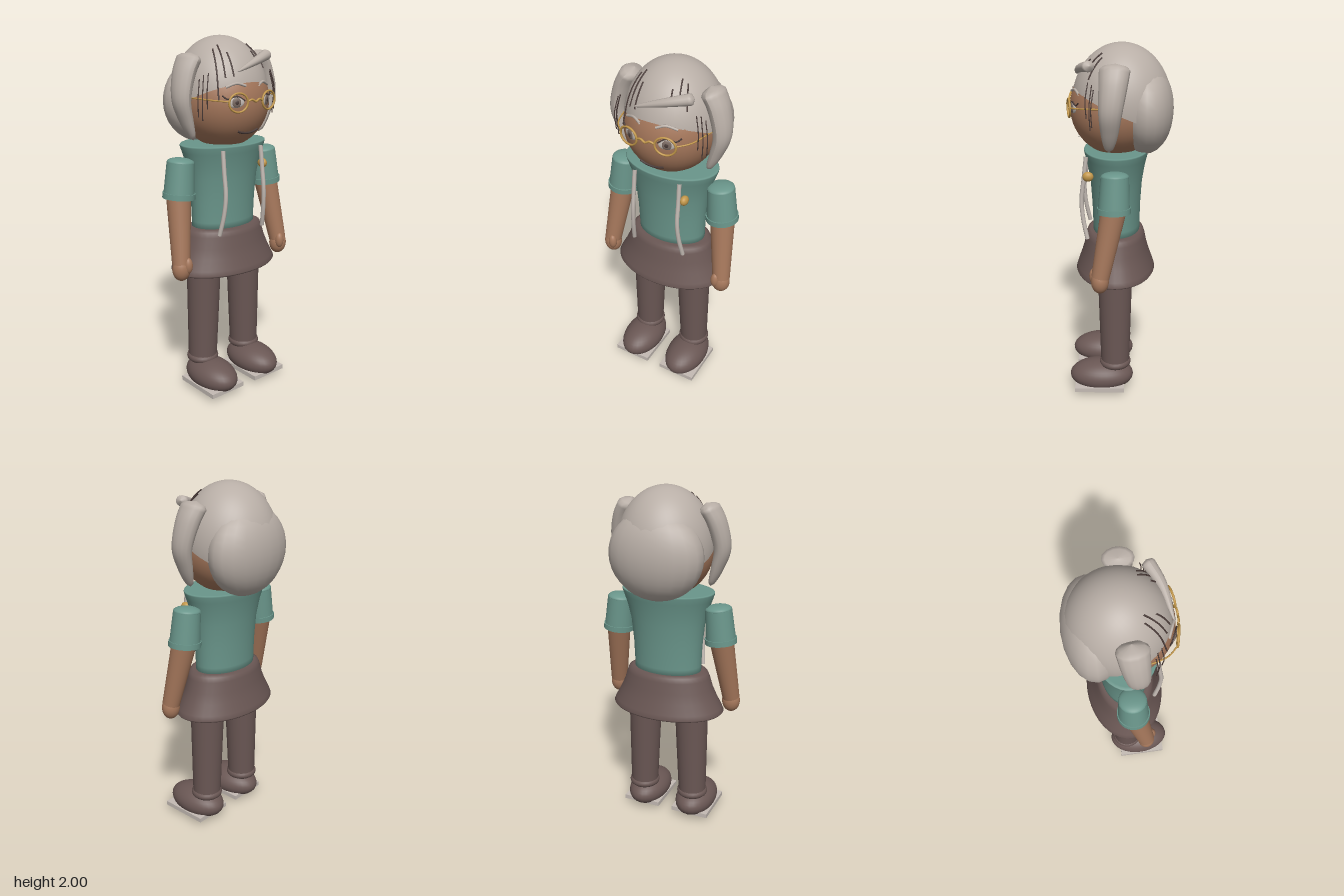
import * as THREE from 'three';

const mat = (name, color) => {
  const m = new THREE.MeshStandardMaterial({ color });
  m.name = name;
  return m;
};
const V = (x, y, z) => new THREE.Vector3(x, y, z);

export function createModel() {
  const model = new THREE.Group();
  const hair = mat('grey hair', 0xb8aea6);
  hair.side = THREE.DoubleSide;
  const skin = mat('skin', 0xa5775b);
  const teal = mat('teal cloth', 0x6a968b);
  const brown = mat('brown cloth', 0x6a5754);
  const pale = mat('pale trim', 0xc4bbb4);
  const gold = mat('gold', 0xc2974a);
  const dark = mat('dark line', 0x4a3b38);
  const iris = mat('iris', 0x7a6a62);

  const add = (name, geo, material, x = 0, y = 0, z = 0) => {
    const m = new THREE.Mesh(geo, material);
    m.name = name;
    m.position.set(x, y, z);
    model.add(m);
    return m;
  };
  const ball = (name, material, c, r, w = 32, h = 20) => {
    const m = add(name, new THREE.SphereGeometry(1, w, h), material, ...c);
    m.scale.set(...r);
    return m;
  };
  // Tapered cylinder from a (top) to b (bottom)
  const limb = (name, material, a, b, ra, rb) => {
    const d = a.clone().sub(b);
    const m = add(name, new THREE.CylinderGeometry(ra, rb, d.length(), 28), material);
    m.position.copy(a).add(b).multiplyScalar(0.5);
    m.quaternion.setFromUnitVectors(V(0, 1, 0), d.normalize());
    return m;
  };
  const cord = (name, material, pts, r, n = 20) =>
    add(name, new THREE.TubeGeometry(new THREE.CatmullRomCurve3(pts), n, r, 8), material);
  // Tube whose rings are scaled along the path, for locks of hair
  const lock = (name, pts, size, radius) => {
    const n = 28, sides = 14;
    const curve = new THREE.CatmullRomCurve3(pts);
    const geo = new THREE.TubeGeometry(curve, n, 1, sides);
    const p = geo.attributes.position, v = V(0, 0, 0);
    for (let i = 0; i <= n; i++) {
      const c = curve.getPointAt(i / n), r = radius(i / n);
      for (let j = 0; j <= sides; j++) {
        const k = i * (sides + 1) + j;
        v.fromBufferAttribute(p, k).sub(c).multiply(size).multiplyScalar(r).add(c);
        p.setXYZ(k, v.x, v.y, v.z);
      }
    }
    geo.computeVertexNormals();
    return add(name, geo, hair);
  };
  // Elliptical body part turned from [radius, y] pairs
  const turned = (name, material, profile, depth, z) => {
    const m = add(name, new THREE.LatheGeometry(
      profile.map(([r, y]) => new THREE.Vector2(r, y)), 40), material, 0, 0, z);
    m.scale.z = depth;
    return m;
  };

  // Head and the depth of its face at a given x, y
  ball('head', skin, [0, 1.66, 0.02], [0.252, 0.26, 0.25], 40, 28);
  const faceZ = (x, y) =>
    0.02 + 0.25 * Math.sqrt(Math.max(0, 1 - (x / 0.252) ** 2 - ((y - 1.66) / 0.26) ** 2));
  const onFace = (x, y, lift = 0) => V(x, y, faceZ(x, y) + lift);

  // Hair cap, cut on a slope from the forehead down to the nape
  const capGeo = new THREE.SphereGeometry(1, 40, 24, 0, Math.PI * 2, 0, 1.65);
  capGeo.rotateX(-0.36).scale(0.262, 0.32, 0.268);
  add('hairCap', capGeo, hair, 0, 1.68, -0.01);
  ball('backHair', hair, [0, 1.65, -0.14], [0.268, 0.243, 0.152], 20, 18);
  const onCap = (x, z) => V(x, 1.683 + 0.32 * Math.sqrt(
    Math.max(0, 1 - (x / 0.262) ** 2 - ((z + 0.01) / 0.268) ** 2)), z);

  // Swept fringe
  lock('fringe', [V(0.2, 1.9, 0.15), V(0.08, 1.875, 0.205), V(-0.09, 1.825, 0.24)],
    V(0.035, 0.03, 0.035), t => Math.sqrt(Math.min(1, t / 0.05)) * (1 - t) ** 0.6);

  // Loose strands on the crown
  [[-0.18, 0.2, -0.13, 0.09], [-0.135, 0.2, -0.1, 0.09], [-0.095, 0.22, -0.085, 0.15],
    [0.1, 0.09, 0.125, 0.17], [0.13, 0.09, 0.165, 0.16], [0.08, 0.15, 0.09, 0.19]]
    .forEach(([x0, z0, x1, z1]) => {
      const pts = [0, 0.33, 0.67, 1].map(t =>
        onCap(x0 + (x1 - x0) * t, z0 + (z1 - z0) * t));
      cord('crownStrand', dark, pts, 0.004);
    });

  // Shirt with flared neckline, and skirt
  turned('shirt', teal, [[0, 0.94], [0.2, 0.94], [0.2, 1.0], [0.205, 1.12], [0.218, 1.25],
    [0.24, 1.34], [0.258, 1.39], [0.27, 1.425], [0.268, 1.432], [0.25, 1.432], [0, 1.43]],
  0.64, 0.02).scale.z = 0.66;
  turned('skirt', brown, [[0, 0.72], [0.31, 0.72], [0.33, 0.721], [0.337, 0.73], [0.325, 0.755],
    [0.295, 0.81], [0.268, 0.87], [0.25, 0.93], [0.238, 0.955], [0.215, 0.967], [0, 0.968]],
  0.67, 0.025);

  for (const s of [1, -1]) {
    // Side locks and fine strands by the temples
    lock('sideLock', [V(s * 0.215, 1.915, 0.02), V(s * 0.27, 1.82, 0.03),
      V(s * 0.302, 1.68, 0.045), V(s * 0.275, 1.57, 0.05), V(s * 0.235, 1.465, 0.055)],
    V(0.062, 0.04, 0.082), t => Math.sqrt(Math.min(1, t / 0.06)) * (1 - t) ** 0.4);
    for (const [x, z, top, low] of [[0.25, 0.15, 1.81, 1.58], [0.235, 0.17, 1.82, 1.64],
      [0.27, 0.14, 1.79, 1.6]])
      cord('templeStrand', dark, [V(s * (x - 0.02), top, z - 0.01),
        V(s * x, (top + low) / 2, z + 0.004), V(s * (x - 0.004), low, z)], 0.0028, 10);

    // Eyes
    const ex = s * 0.105, ey = 1.672, ez = faceZ(ex, ey);
    const turn = s * 0.42;
    ball('eye', pale, [ex, ey, ez], [0.045, 0.028, 0.008]).rotation.y = turn;
    ball('iris', iris, [ex, ey, ez + 0.005], [0.025, 0.026, 0.007]).rotation.y = turn;
    ball('pupil', dark, [ex, ey, ez + 0.009], [0.012, 0.013, 0.005]).rotation.y = turn;
    cord('upperLid', dark, [onFace(s * 0.06, 1.68, 0.005), onFace(s * 0.1, 1.703, 0.005),
      onFace(s * 0.145, 1.69, 0.006), onFace(s * 0.168, 1.708, 0.012)], 0.004);
    cord('eyebrow', hair, [onFace(s * 0.045, 1.753, 0.006), onFace(s * 0.09, 1.766, 0.006),
      onFace(s * 0.145, 1.748, 0.006)], 0.007);

    // Glasses rim
    const rim = add('glassesRim', new THREE.TorusGeometry(0.055, 0.006, 8, 36), gold,
      ex, 1.672, 0.268);
    rim.scale.y = 0.88;
    rim.rotation.y = s * 0.2;
    cord('glassesArm', gold, [V(s * 0.158, 1.68, 0.257), V(s * 0.21, 1.685, 0.2),
      V(s * 0.25, 1.69, 0.06)], 0.004);

    // Sleeve with rounded shoulder and cuff
    const shoulder = V(s * 0.298, 1.35, 0.023), cuff = V(s * 0.316, 1.17, 0.028);
    limb('sleeve', teal, shoulder, cuff, 0.074, 0.084);
    ball('shoulder', teal, shoulder.toArray(), [0.074, 0.026, 0.074]).rotation.z = s * 0.1;
    limb('sleeveCuff', teal, V(s * 0.314, 1.188, 0.028), V(s * 0.317, 1.158, 0.028),
      0.089, 0.089);

    // Arm, hand and thumb
    limb('arm', skin, V(s * 0.318, 1.18, 0.028), V(s * 0.362, 0.81, 0.1), 0.068, 0.049);
    ball('hand', skin, [s * 0.362, 0.785, 0.103], [0.052, 0.066, 0.048]);
    ball('thumb', skin, [s * 0.342, 0.808, 0.137], [0.025, 0.045, 0.024]);

    // Leg, ankle cuff, shoe and sole
    limb('leg', brown, V(s * 0.147, 0.76, 0.026), V(s * 0.16, 0.16, 0.026), 0.098, 0.082);
    const ankle = add('ankleCuff', new THREE.TorusGeometry(0.067, 0.025, 12, 28), brown,
      s * 0.16, 0.178, 0.026);
    ankle.rotation.x = Math.PI / 2;
    ball('shoe', brown, [s * 0.158, 0.09, 0.106], [0.119, 0.09, 0.186]);
    add('sole', new THREE.BoxGeometry(0.23, 0.026, 0.286), pale, s * 0.16, 0.042, 0.117);

    // Hanging cord over the shirt
    cord('neckCord', pale, [V(s * 0.135, 1.415, 0.18), V(s * 0.137, 1.3, 0.193),
      V(s * 0.138, 1.17, 0.208), V(s * 0.145, 1.06, 0.2), V(s * 0.157, 0.95, 0.178)], 0.012);
  }

  // Bridge, smile and badge
  cord('glassesBridge', gold, [V(-0.052, 1.675, 0.277), V(-0.025, 1.684, 0.282),
    V(0, 1.673, 0.284), V(0.025, 1.684, 0.282), V(0.052, 1.675, 0.277)], 0.006);
  cord('smile', dark, [-0.07, -0.04, 0, 0.04, 0.07].map(x =>
    onFace(x, 1.502 + 2.8 * x * x, 0.004)), 0.006);
  ball('badge', gold, [0.16, 1.31, 0.17], [0.022, 0.027, 0.03], 20, 14);

  return model;
}
